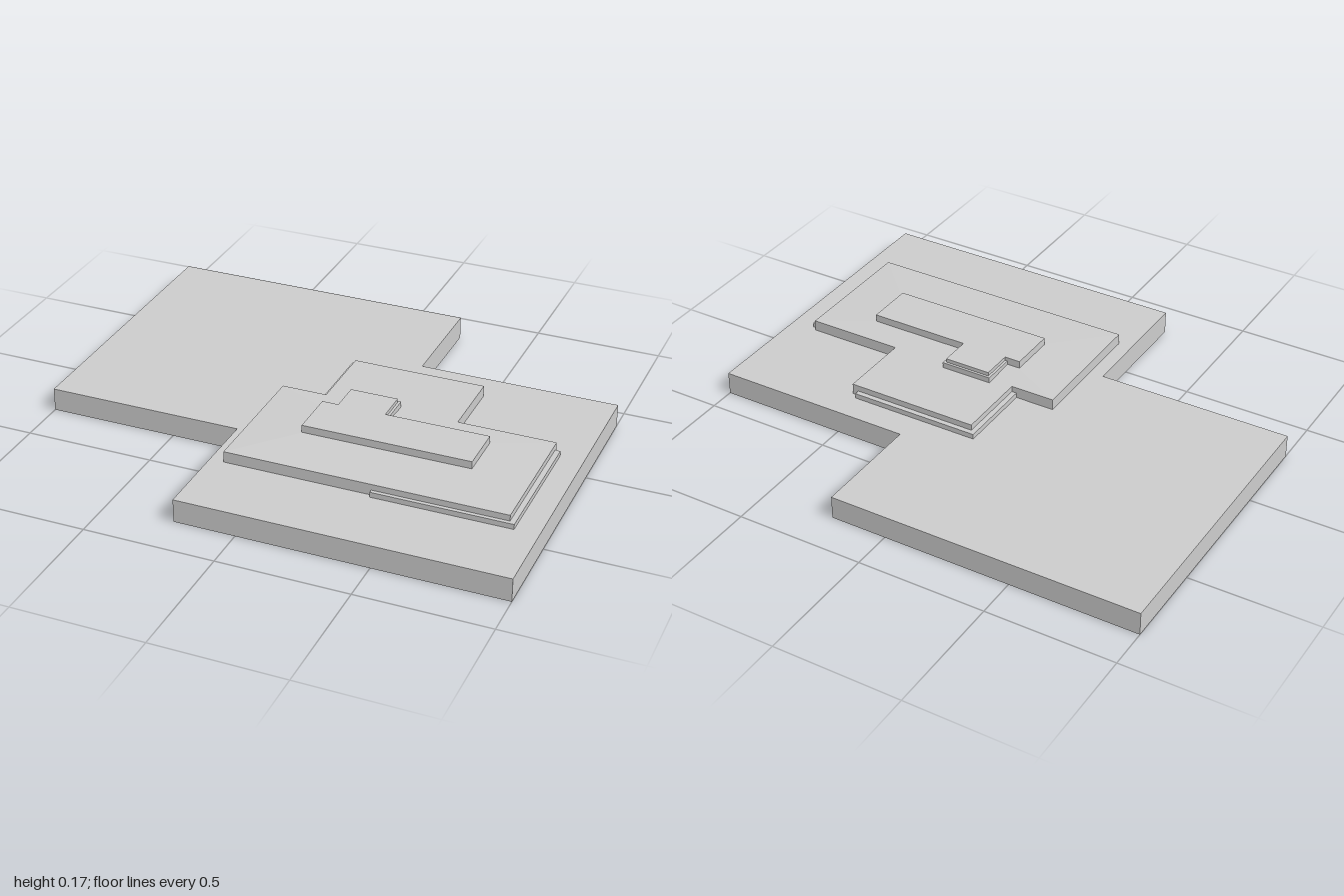
import * as THREE from 'three';

const material = new THREE.MeshStandardMaterial({ color: 0xcccccc, flatShading: true });

// Vertical prism from a plan outline of [x, z] corners
function slab(name, outline, y0, y1) {
  const shape = new THREE.Shape(outline.map(([x, z]) => new THREE.Vector2(x, -z)));
  const geometry = new THREE.ExtrudeGeometry(shape, { depth: y1 - y0, bevelEnabled: false });
  geometry.rotateX(-Math.PI / 2).translate(0, y0, 0);
  const mesh = new THREE.Mesh(geometry, material);
  mesh.name = name;
  return mesh;
}

const rect = (x0, x1, z0, z1) => [[x0, z0], [x1, z0], [x1, z1], [x0, z1]];

// Shallow hipped cap: a box whose top is drawn in to a smaller rectangle
function hippedCap(name, [x0, x1, z0, z1], [tx0, tx1, tz0, tz1], y0, y1) {
  const geometry = new THREE.BoxGeometry(1, 1, 1);
  const p = geometry.attributes.position;
  for (let i = 0; i < p.count; i++) {
    const top = p.getY(i) > 0, right = p.getX(i) > 0, front = p.getZ(i) > 0;
    p.setXYZ(i,
      right ? (top ? tx1 : x1) : (top ? tx0 : x0),
      top ? y1 : y0,
      front ? (top ? tz1 : z1) : (top ? tz0 : z0));
  }
  geometry.computeVertexNormals();
  const mesh = new THREE.Mesh(geometry, material);
  mesh.name = name;
  return mesh;
}

export function createModel() {
  const model = new THREE.Group();
  model.name = 'steppedPlatform';

  // Two overlapping squares form the ground plate
  model.add(slab('basePlate', [
    [-1, -0.84], [0.22, -0.84], [0.22, -0.4], [1, -0.4],
    [1, 0.835], [-0.235, 0.835], [-0.235, 0.31], [-1, 0.31],
  ], 0, 0.09));

  // Low steps showing past the terrace edges
  model.add(slab('frontStep', rect(0.385, 0.91, 0.035, 0.555), 0.09, 0.11));
  model.add(slab('backStep', rect(-0.025, 0.49, -0.29, 0.02), 0.09, 0.11));

  // T-shaped terrace with a faint slope on its main part
  model.add(slab('terrace', [
    [-0.005, -0.27], [0.515, -0.27], [0.515, 0.02], [0.89, 0.02],
    [0.89, 0.54], [-0.18, 0.54], [-0.18, 0.02], [-0.005, 0.02],
  ], 0.09, 0.133));
  model.add(hippedCap('terraceSlope', [-0.18, 0.89, 0.02, 0.54], [0.03, 0.675, 0.13, 0.32], 0.133, 0.141));

  // Upper block with a narrow wing and its step
  model.add(slab('upperBlock', [
    [0.09, 0.007], [0.275, 0.007], [0.275, 0.13], [0.675, 0.13],
    [0.675, 0.32], [0.027, 0.32], [0.027, 0.13], [0.09, 0.13],
  ], 0.125, 0.17));
  model.add(slab('upperStep', rect(0.08, 0.285, -0.003, 0.135), 0.125, 0.155));

  return model;
}
